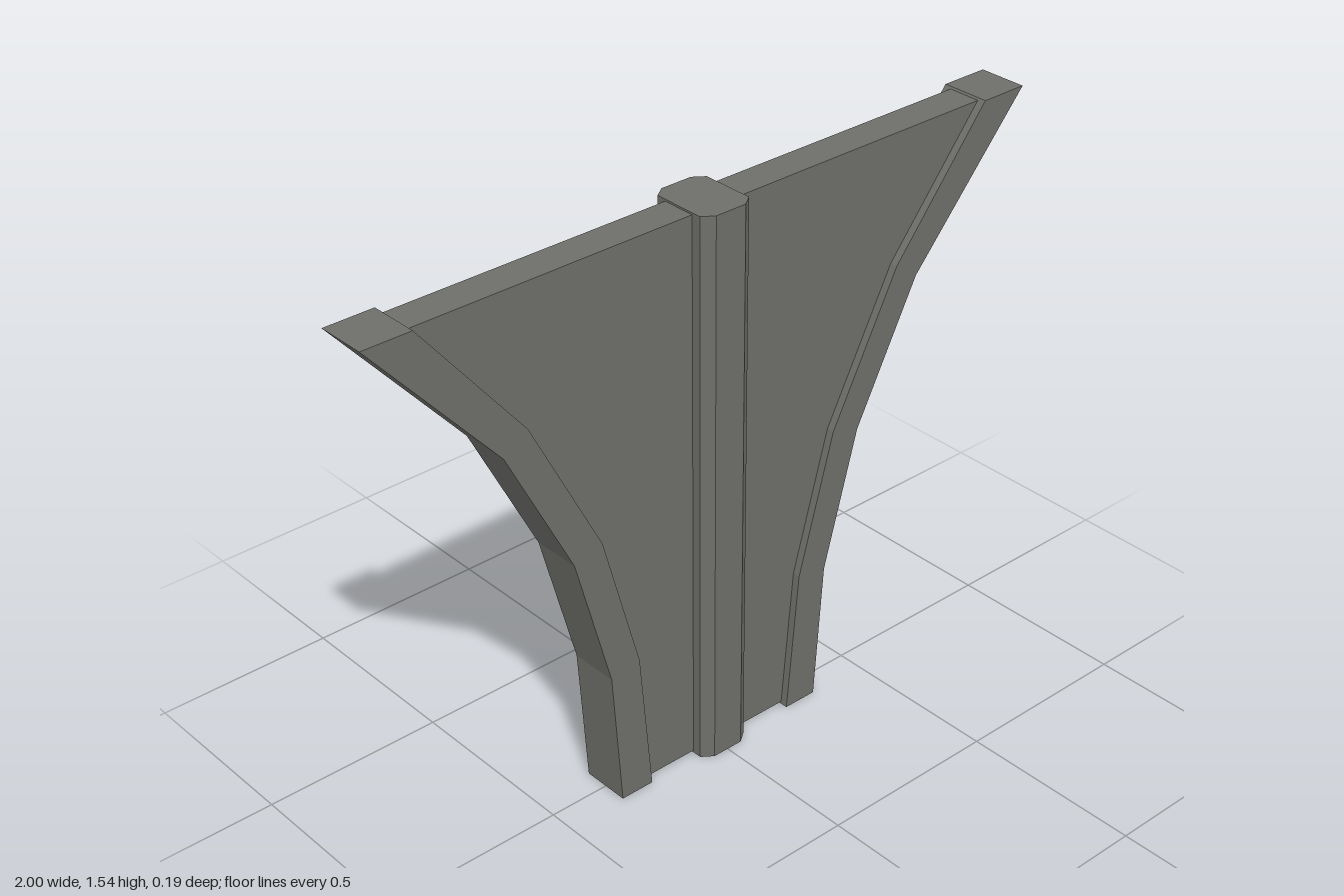
import * as THREE from 'three';

const HEIGHT = 1.54;
const metal = new THREE.MeshStandardMaterial({ color: 0x6e6e6a, side: THREE.DoubleSide });
metal.name = 'dark grey';

// Flared side profile, base to top
const outer = [[0.33, 0], [0.357, 0.385], [0.46, 0.765], [0.648, 1.135], [1, HEIGHT]];
const inner = [[0.233, 0], [0.268, 0.4], [0.375, 0.79], [0.578, 1.185], [0.865, HEIGHT]];

const toShape = (pts) => new THREE.Shape(pts.map(([x, y]) => new THREE.Vector2(x, y)));
const mirror = (pts) => pts.map(([x, y]) => [-x, y]).reverse();

function extrude(pts, depth) {
  const geo = new THREE.ExtrudeGeometry(toShape(pts), { depth, bevelEnabled: false });
  return geo.translate(0, 0, -depth / 2);
}

// Leaves the underside open by removing downward triangles
function openBottom(geo) {
  const src = geo.index ? geo.toNonIndexed() : geo;
  const p = src.attributes.position;
  const n = src.attributes.normal;
  const kept = [];
  for (let i = 0; i < p.count; i += 3) {
    if (n.getY(i) < -0.99) continue;
    for (let k = i; k < i + 3; k++) kept.push(p.getX(k), p.getY(k), p.getZ(k));
  }
  const out = new THREE.BufferGeometry();
  out.setAttribute('position', new THREE.Float32BufferAttribute(kept, 3));
  out.computeVertexNormals();
  return out;
}

export function createModel() {
  const group = new THREE.Group();
  group.name = 'flaredPanel';
  const add = (name, geo) => {
    const mesh = new THREE.Mesh(geo, metal);
    mesh.name = name;
    group.add(mesh);
  };

  // Thin web, its sides tucked inside the rims
  const edge = outer.map(([x], i) => [
    (x + inner[i][0]) / 2,
    i === 0 ? 0.006 : i === 4 ? HEIGHT - 0.005 : (outer[i][1] + inner[i][1]) / 2,
  ]);
  add('webPanel', openBottom(extrude([...edge, ...mirror(edge)], 0.092)));

  // Thicker rims along both curved sides
  const rim = [...outer, ...[...inner].reverse()];
  add('leftRim', extrude(rim, 0.134));
  add('rightRim', extrude(mirror(rim), 0.134));

  // Central post with chamfered corners
  const quarter = [[0.075, 0.072], [0.045, 0.094]];
  const half = [...quarter, ...mirror(quarter)];
  const section = [...half, ...half.map(([x, z]) => [-x, -z])];
  const post = extrude(section, HEIGHT).rotateX(-Math.PI / 2).translate(0, HEIGHT / 2, 0);
  add('centrePost', openBottom(post));

  return group;
}
